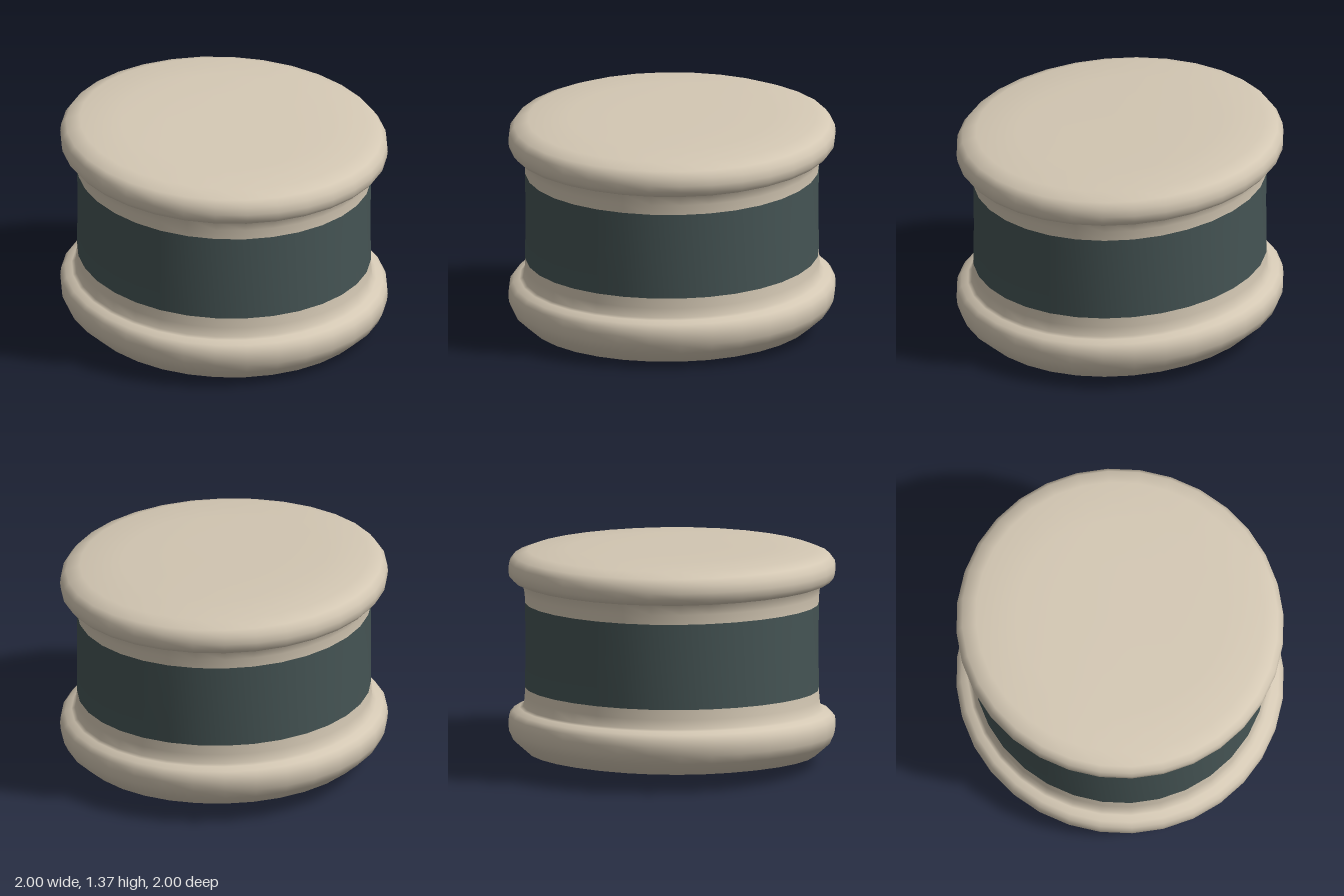
import * as THREE from 'three';
import { mergeVertices } from 'three/addons/utils/BufferGeometryUtils.js';

const SEGMENTS = 32;

// Slight uneven lean: the back sits higher than the front
function lean(geometry) {
  const p = geometry.attributes.position;
  for (let i = 0; i < p.count; i++) {
    const x = p.getX(i), y = p.getY(i), z = p.getZ(i);
    const s = 1.3 * z - 0.3 * z ** 3;
    p.setY(i, y - 0.047 * s - 0.01 * x * Math.max(0, y - 0.4));
  }
}

// Turned ring with smooth normals, profile listed from bottom to top
function turned(name, profile, color) {
  let geometry = new THREE.LatheGeometry(profile.map(([r, y]) => new THREE.Vector2(r, y)), SEGMENTS);
  geometry.deleteAttribute('uv');
  geometry.deleteAttribute('normal');
  geometry = mergeVertices(geometry, 1e-4);
  lean(geometry);
  geometry.computeVertexNormals();
  const mesh = new THREE.Mesh(geometry, new THREE.MeshStandardMaterial({ color }));
  mesh.name = name;
  return mesh;
}

export function createModel() {
  const cream = 0xd3c7b3, teal = 0x455454;
  const group = new THREE.Group();
  group.name = 'spool';

  // Lower flange with its neck
  group.add(turned('lowerFlange', [
    [0, 0.04], [0.35, 0.037], [0.63, 0.036], [0.8, 0.05], [0.88, 0.066], [0.97, 0.145], [0.995, 0.2],
    [1, 0.25], [0.995, 0.295], [0.97, 0.325], [0.93, 0.342], [0.908, 0.352], [0.9, 0.41], [0.897, 0.47],
  ], cream));

  // Coloured band round the waist
  group.add(turned('waistBand', [[0.897, 0.47], [0.895, 0.74], [0.897, 1.0]], teal));

  // Upper flange with its neck
  group.add(turned('upperFlange', [
    [0.897, 1.0], [0.9, 1.06], [0.912, 1.122], [0.935, 1.126], [0.97, 1.14], [0.995, 1.17], [1, 1.21],
    [0.995, 1.255], [0.965, 1.295], [0.88, 1.328], [0.63, 1.34], [0.35, 1.342], [0, 1.344],
  ], cream));

  return group;
}
